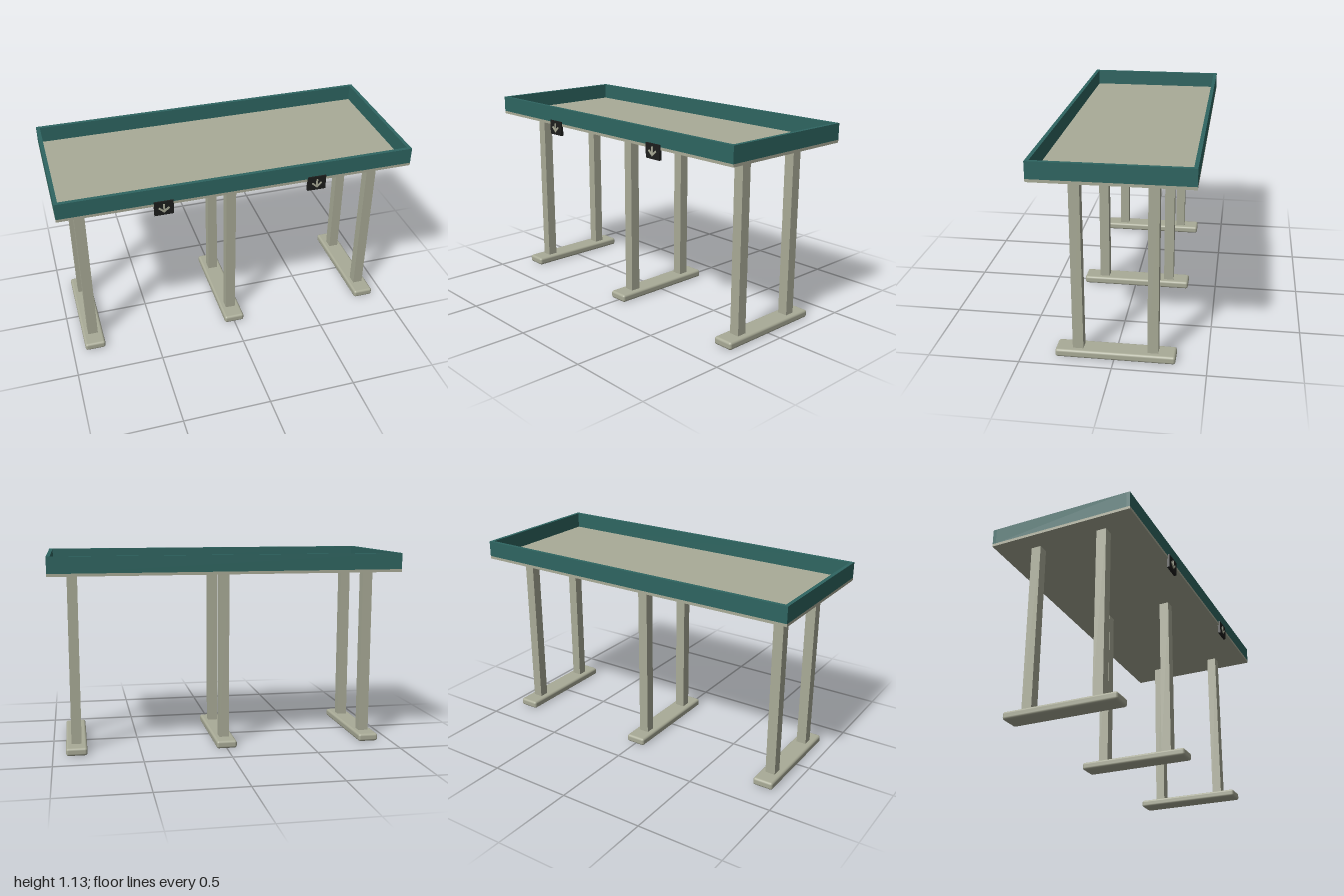
import * as THREE from 'three';
import { RoundedBoxGeometry } from 'three/addons/geometries/RoundedBoxGeometry.js';

const material = (name, color) => {
  const m = new THREE.MeshStandardMaterial({ color });
  m.name = name;
  return m;
};

export function createModel() {
  const beige = material('beige', 0xa9ab97);
  const teal = material('teal', 0x2e6561);
  const black = material('black', 0x1d1e1d);

  const table = new THREE.Group();
  table.name = 'trayTable';

  const add = (parent, name, geometry, mat, x, y, z) => {
    const mesh = new THREE.Mesh(geometry, mat);
    mesh.name = name;
    mesh.position.set(x, y, z);
    parent.add(mesh);
    return mesh;
  };
  // Box given by its minimum and maximum corners
  const box = (parent, name, mat, [x0, y0, z0], [x1, y1, z1]) =>
    add(parent, name, new THREE.BoxGeometry(x1 - x0, y1 - y0, z1 - z0), mat,
      (x0 + x1) / 2, (y0 + y1) / 2, (z0 + z1) / 2);

  // Tray: floor slab and four rim boards
  const front = 0.416, back = -0.427, wall = 0.021;
  const under = 1.026, floor = 1.042, top = 1.134;
  box(table, 'trayFloor', beige, [-1, under, back], [1, floor, front]);
  box(table, 'frontRim', teal, [-1, floor, front - wall], [1, top, front]);
  box(table, 'backRim', teal, [-1, floor, back], [1, top, back + wall]);
  for (const [name, x] of [['rightRim', -1], ['leftRim', 1 - wall]]) {
    box(table, name, teal, [x, floor, back + wall], [x + wall, top, front - wall]);
  }

  // Three supports: two square posts on a rounded foot
  const footGeometry = new RoundedBoxGeometry(0.12, 0.045, 0.65, 3, 0.014);
  for (const x of [-0.866, 0, 0.866]) {
    const support = new THREE.Group();
    support.name = 'support';
    support.position.x = x;
    add(support, 'foot', footGeometry, beige, 0, 0.0225, -0.006);
    for (const z of [0.197, -0.208]) {
      box(support, 'post', beige, [-0.029, 0.04, z - 0.029], [0.029, under, z + 0.029]);
    }
    table.add(support);
  }

  // Downward arrow: shaft with a chevron head, centred on its sign
  const arrow = new THREE.Shape([
    [-0.005, 0.026], [0.005, 0.026], [0.005, -0.01], [0.024, 0.008], [0.031, 0.001],
    [0, -0.027], [-0.031, 0.001], [-0.024, 0.008], [-0.005, -0.01],
  ].map(([x, y]) => new THREE.Vector2(x, y)));
  const arrowGeometry = new THREE.ExtrudeGeometry(arrow, { depth: 0.005, bevelEnabled: false });

  // Two small signs on the front edge
  for (const x of [-0.433, 0.433]) {
    const sign = new THREE.Group();
    sign.name = 'arrowSign';
    sign.position.set(x, 1.012, 0);
    box(sign, 'signPlate', black, [-0.053, -0.042, 0.408], [0.053, 0.042, 0.424]);
    add(sign, 'arrow', arrowGeometry, beige, 0, 0, 0.4235);
    table.add(sign);
  }

  return table;
}
